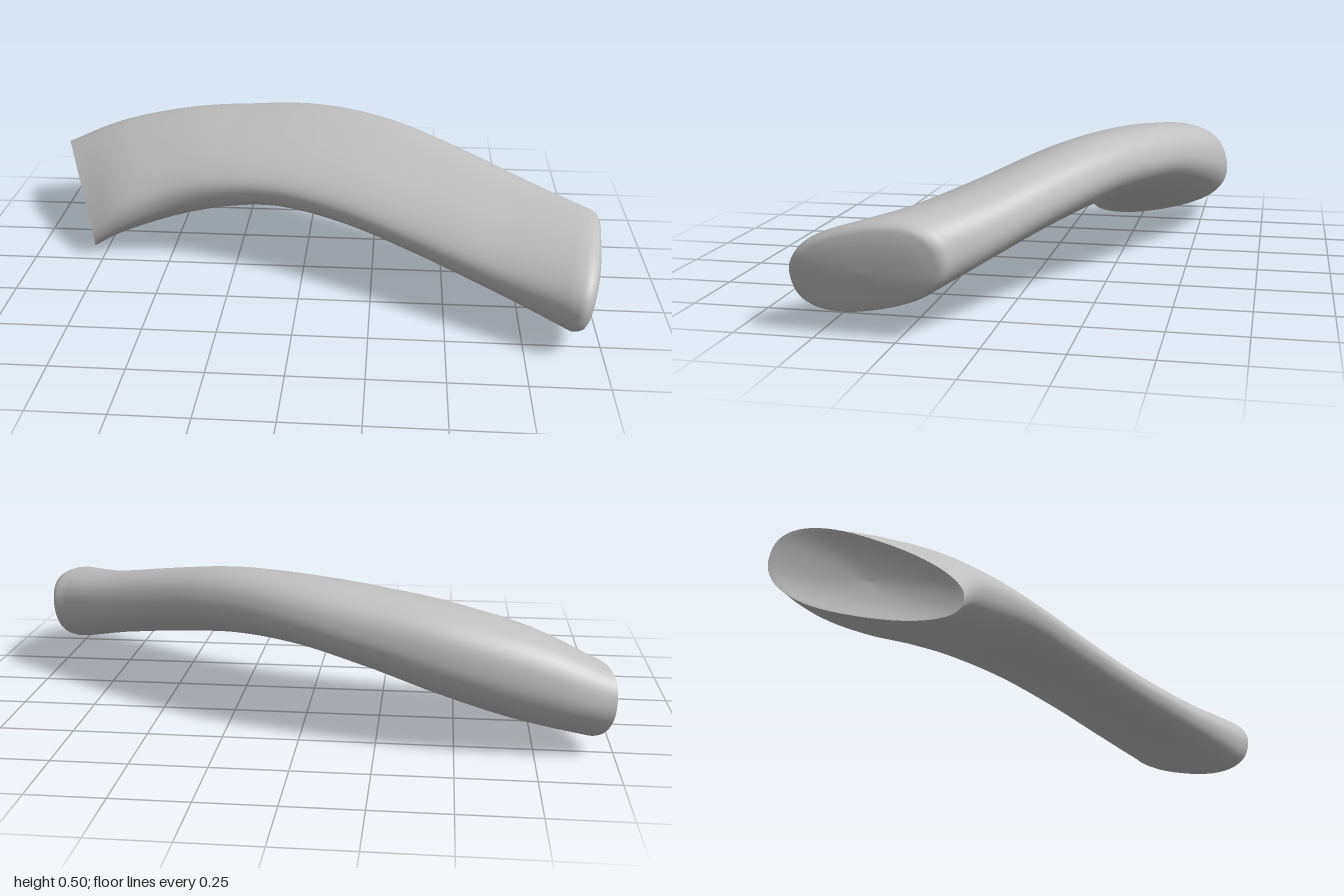
import * as THREE from 'three';

const SEGMENTS = 64;
const STEPS = 56;
const ROUNDNESS = 0.85; // 1 is an ellipse, lower is boxier

// Stations along the bar: back edge point, front edge point,
// then half thickness and extra fullness towards the back, above and below
const stations = [
  [[-0.993, 0.195, -0.57], [-0.785, 0.065, -0.035], [0.122, 0.2, 0.22]],
  [[-0.80, 0.25, -0.597], [-0.68, 0.14, -0.03], [0.143, 0.2, 0.2]],
  [[-0.50, 0.315, -0.592], [-0.50, 0.225, -0.03], [0.147, 0.2, 0.1]],
  [[-0.22, 0.37, -0.54], [-0.33, 0.275, -0.005], [0.131, 0.2, 0.02]],
  [[0.05, 0.415, -0.46], [-0.12, 0.30, 0.045], [0.117, 0.21, 0]],
  [[0.32, 0.42, -0.32], [0.12, 0.28, 0.135], [0.112, 0.22, 0.01]],
  [[0.58, 0.37, -0.16], [0.36, 0.24, 0.26], [0.109, 0.25, 0.03]],
  [[0.80, 0.31, -0.02], [0.62, 0.195, 0.42], [0.113, 0.2, 0.05]],
  [[0.96, 0.27, 0.09], [0.90, 0.15, 0.597], [0.135, 0, 0.01]],
];
const curve = (column) => new THREE.CatmullRomCurve3(stations.map((s) => new THREE.Vector3(...s[column])));
const backEdge = curve(0);
const frontEdge = curve(1);
const shape = curve(2);

const soften = (v) => Math.sign(v) * Math.abs(v) ** ROUNDNESS;

// Rounded section at t, optionally shrunk and pushed along the bar
function section(t, scale = 1, push = 0) {
  const p = backEdge.getPoint(t), q = frontEdge.getPoint(t);
  const { x: half, y: fullTop, z: fullBottom } = shape.getPoint(t);
  const centre = p.clone().add(q).multiplyScalar(0.5);
  const across = p.clone().sub(q).multiplyScalar(0.5);
  const up = new THREE.Vector3(0.17 * centre.x, 1, 0)
    .projectOnPlane(across.clone().normalize()).setLength(half);
  const normal = across.clone().cross(up).normalize();
  centre.addScaledVector(normal, push);
  return Array.from({ length: SEGMENTS }, (_, j) => {
    const a = (j / SEGMENTS) * Math.PI * 2;
    const u = soften(Math.cos(a)), v = soften(Math.sin(a));
    return centre.clone()
      .addScaledVector(across, u * scale)
      .addScaledVector(up, v * (1 + (v > 0 ? fullTop : fullBottom) * u) * scale);
  });
}

// Skin a list of sections with smooth normals
function loft(rings) {
  const index = [];
  for (let i = 0; i < rings.length - 1; i++) {
    for (let j = 0; j < SEGMENTS; j++) {
      const k = (j + 1) % SEGMENTS;
      const a = i * SEGMENTS + j, b = i * SEGMENTS + k;
      index.push(a, b, a + SEGMENTS, b, b + SEGMENTS, a + SEGMENTS);
    }
  }
  const geometry = new THREE.BufferGeometry().setFromPoints(rings.flat());
  geometry.setIndex(index);
  geometry.computeVertexNormals();
  return geometry;
}

export function createModel() {
  const group = new THREE.Group();
  group.name = 'curvedBar';
  const grey = new THREE.MeshStandardMaterial({ color: 0xc0c0c0 });
  grey.name = 'light grey';

  const add = (name, rings) => {
    const mesh = new THREE.Mesh(loft(rings), grey);
    mesh.name = name;
    group.add(mesh);
  };

  // Bent body, with a softly rounded, slightly domed left end
  const body = Array.from({ length: STEPS + 1 }, (_, i) => section(i / STEPS));
  const dome = [[0.98, 0.02], [0.94, 0.036], [0.86, 0.046], [0.6, 0.056], [0.3, 0.06], [0.001, 0.062]];
  add('body', [...body, ...dome.map(([s, d]) => section(1, s, d))]);

  // Crisp, shallowly hollowed right end
  const hollow = [[0.001, 0.03], [0.4, 0.026], [0.75, 0.014], [0.93, 0.003], [1, 0]];
  add('hollowEnd', hollow.map(([s, d]) => section(0, s, d)));

  return group;
}
